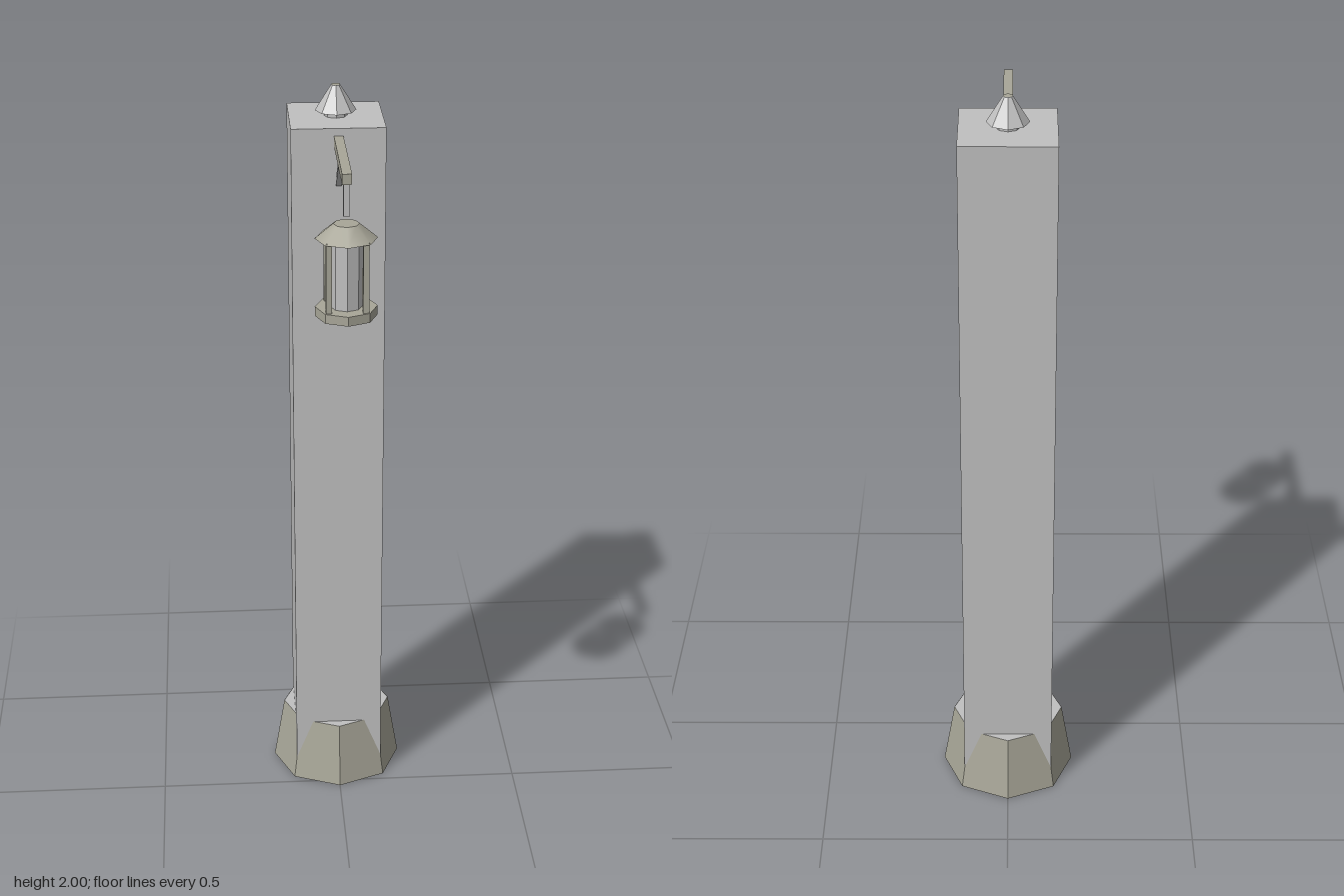
import * as THREE from 'three';

const stone = new THREE.MeshStandardMaterial({ color: 0xc0c0c0 });
stone.name = 'pale grey';
const weathered = new THREE.MeshStandardMaterial({ color: 0xa8a698, side: THREE.DoubleSide });
weathered.name = 'warm grey';

const POST_Z = -0.153;
const LAMP_Z = 0.255;

// Faceted geometry with hard edges
function faceted(geometry) {
  const flat = geometry.toNonIndexed();
  flat.computeVertexNormals();
  return flat;
}

export function createModel() {
  const model = new THREE.Group();
  model.name = 'lanternPost';

  function add(name, geometry, material, x, y, z, parent = model) {
    const mesh = new THREE.Mesh(geometry, material);
    mesh.name = name;
    mesh.position.set(x, y, z);
    parent.add(mesh);
    return mesh;
  }
  const box = (w, h, d) => new THREE.BoxGeometry(w, h, d);
  const octagon = (top, bottom, h, open = false) =>
    faceted(new THREE.CylinderGeometry(top, bottom, h, 8, 1, open));

  // Square post in a flared eight-sided footing
  add('post', box(0.24, 1.92, 0.24), stone, 0, 0.96, POST_Z);
  add('footing', octagon(0.15, 0.18, 0.18, true), weathered, 0, 0.09, POST_Z);
  const footingTop = new THREE.CircleGeometry(0.15, 8);
  footingTop.rotateX(-Math.PI / 2);
  add('footingTop', footingTop, stone, 0, 0.179, POST_Z);

  // Finial on the post
  add('finialNeck', octagon(0.03, 0.03, 0.03), stone, 0, 1.93, POST_Z);
  add('finialCone', octagon(0.012, 0.053, 0.065), stone, 0, 1.9665, POST_Z);
  const tip = new THREE.CircleGeometry(0.012, 8);
  tip.rotateX(-Math.PI / 2);
  add('finialTip', tip, weathered, 0, 2.0, POST_Z);

  // Arm, diagonal brace and hanger
  add('arm', box(0.024, 0.026, 0.32), weathered, 0, 1.888, 0.12);
  const brace = add('brace', box(0.014, 0.014, 0.125), stone, 0, 1.817, 0.012);
  brace.rotation.x = -Math.atan2(0.08, 0.093);
  add('hanger', box(0.015, 0.09, 0.015), stone, 0, 1.834, LAMP_Z);

  // Hanging lantern
  const lantern = new THREE.Group();
  lantern.name = 'lantern';
  lantern.position.z = LAMP_Z;
  model.add(lantern);

  // Smooth-shaded roof sloping to a small flat crown
  add('lanternRoof', new THREE.CylinderGeometry(0.032, 0.077, 0.037, 8), weathered, 0, 1.7525, 0, lantern);
  add('lanternGlass', octagon(0.04, 0.04, 0.165), stone, 0, 1.64, 0, lantern);
  add('lanternTray', octagon(0.077, 0.077, 0.024), weathered, 0, 1.547, 0, lantern);
  for (const x of [-1, 1]) {
    for (const z of [-1, 1]) {
      add('lanternUpright', box(0.015, 0.185, 0.015), weathered, x * 0.045, 1.645, z * 0.045, lantern);
    }
  }

  return model;
}
